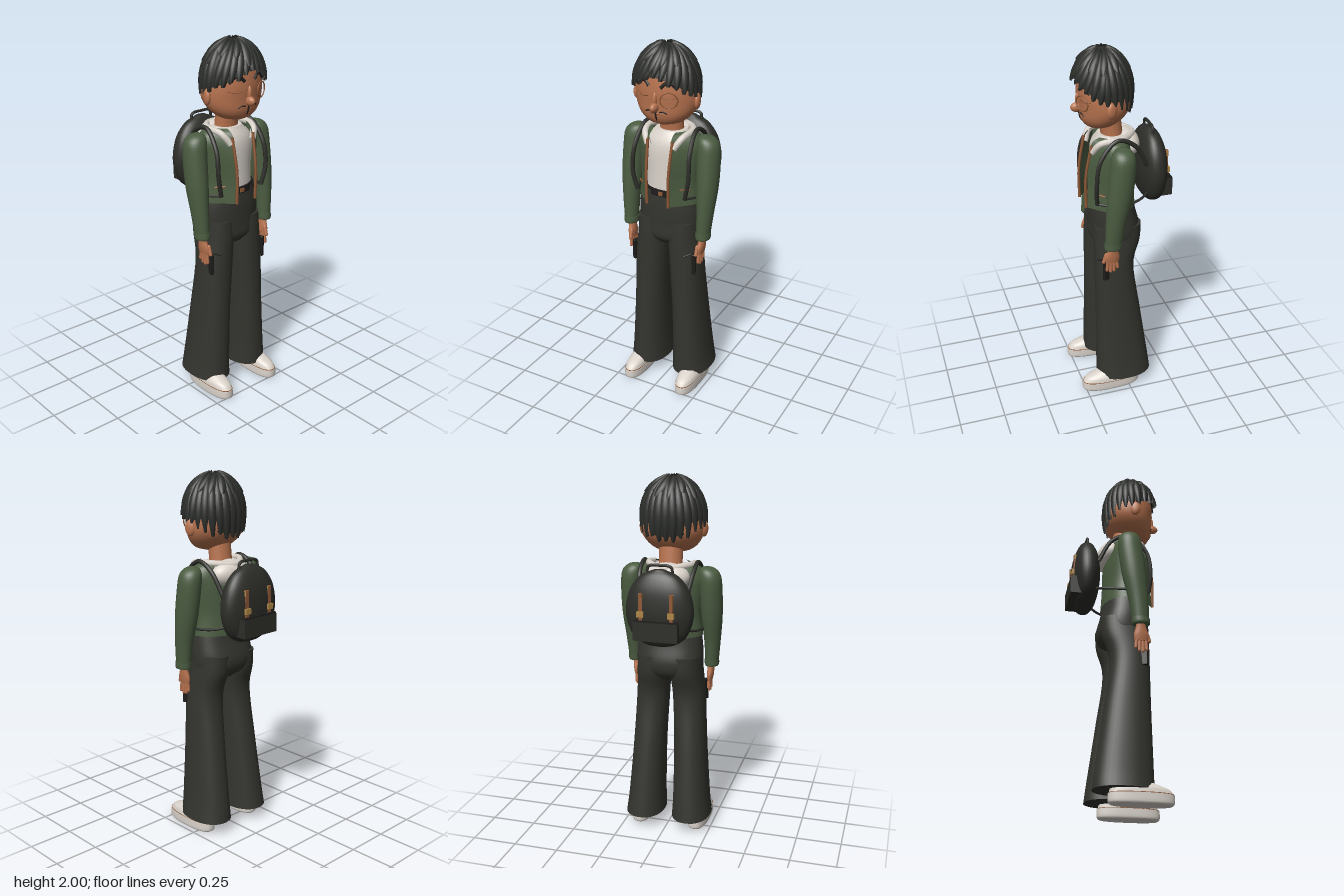
import * as THREE from 'three';
import { ParametricGeometry } from 'three/addons/geometries/ParametricGeometry.js';
import { RoundedBoxGeometry } from 'three/addons/geometries/RoundedBoxGeometry.js';

const mat = (name, color, side = THREE.FrontSide) => {
  const m = new THREE.MeshStandardMaterial({ color, side });
  m.name = name;
  return m;
};
const V = (p) => new THREE.Vector3(...p);

// Closed body from rings [x, y, z, rx, rz], listed upwards and smoothed; power squares off the outline
function loft(rings, steps = 4, sides = 32, power = 2) {
  const centres = new THREE.CatmullRomCurve3(rings.map((r) => V(r.slice(0, 3))), false, 'catmullrom');
  const radii = new THREE.CatmullRomCurve3(rings.map((r) => V([r[3], r[4], 0])), false, 'catmullrom');
  const n = (rings.length - 1) * steps, pos = [], idx = [];
  const bend = (v) => Math.sign(v) * Math.abs(v) ** (2 / power);
  const ring = (i) => {
    const c = centres.getPoint(i / n), r = radii.getPoint(i / n);
    for (let k = 0; k < sides; k++) {
      const a = (k / sides) * Math.PI * 2;
      pos.push(c.x + r.x * bend(Math.sin(a)), c.y, c.z + r.y * bend(Math.cos(a)));
    }
    return c;
  };
  for (let i = 0; i <= n; i++) ring(i);
  for (let i = 0; i < n; i++) for (let k = 0; k < sides; k++) {
    const a = i * sides + k, b = i * sides + ((k + 1) % sides);
    idx.push(a, b, a + sides, b, b + sides, a + sides);
  }
  // flat end caps with their own corners
  for (const end of [0, n]) {
    const start = pos.length / 3, c = ring(end), mid = pos.length / 3;
    pos.push(c.x, c.y, c.z);
    for (let k = 0; k < sides; k++) {
      const a = start + k, b = start + ((k + 1) % sides);
      if (end) idx.push(mid, a, b); else idx.push(mid, b, a);
    }
  }
  const g = new THREE.BufferGeometry();
  g.setAttribute('position', new THREE.Float32BufferAttribute(pos, 3));
  g.setIndex(idx);
  g.computeVertexNormals();
  return g;
}
const tube = (pts, r, seg = 28) => new THREE.TubeGeometry(new THREE.CatmullRomCurve3(pts.map(V)), seg, r, 8);

const HEAD = [[0, 1.582, 0.11, 0.045, 0.045], [0, 1.6, 0.105, 0.1, 0.08], [0, 1.64, 0.09, 0.145, 0.115],
  [0, 1.7, 0.075, 0.172, 0.135], [0, 1.78, 0.075, 0.172, 0.14], [0, 1.88, 0.08, 0.15, 0.12], [0, 1.95, 0.08, 0.08, 0.07]];
// Front surface of the face at x, y
function faceZ(x, y) {
  const i = Math.max(1, HEAD.findIndex((r) => r[1] >= y)), a = HEAD[i - 1], b = HEAD[i];
  const t = (y - a[1]) / (b[1] - a[1]), mix = (k) => a[k] + (b[k] - a[k]) * t;
  return mix(2) + mix(4) * Math.sqrt(Math.max(0, 1 - (x / mix(3)) ** 2));
}
const onFace = (pts, out = 0.002) => pts.map(([x, y]) => [x, y, faceZ(x, y) + out]);

// Hair surface: a is the turn from the front, th the angle down from the crown
function hairPoint(a, th, out, target) {
  const s = Math.sin(th), r = th > Math.PI / 2 ? Math.sqrt(s) : s;
  return target.set(Math.sin(a) * r * (0.177 + out), 1.78 + Math.cos(th) * (0.208 + out), 0.087 + Math.cos(a) * r * (0.156 + out));
}
function hairEnd(a, drop = 0) {
  const c = Math.cos(a), y = 1.765 + (c > 0 ? 0.085 * c * c : 0.08 * c) - drop;
  return Math.acos((y - 1.78) / 0.208);
}
// One raised, pointed lock of hair
const lock = (a0, half, t0, t1, twist, lift) => new ParametricGeometry((u, v, p) => {
  const w = u * 2 - 1, s = 1 - v;
  const width = half * Math.pow(Math.sin(Math.PI * (0.12 + 0.83 * s)), 0.6);
  hairPoint(a0 + twist * s + w * width, t0 + (t1 - t0) * s, -0.004 + lift * (1 - w * w), p);
}, 8, 12);

export function createModel() {
  const root = new THREE.Group();
  const skin = mat('skin', 0xb97450), hairMat = mat('hair black', 0x2c2e2b, THREE.DoubleSide);
  const jacketMat = mat('jacket green', 0x4b5c41, THREE.DoubleSide), trouserMat = mat('trouser charcoal', 0x34342f);
  const white = mat('off white', 0xdad3cb), packMat = mat('pack black', 0x2d2d29);
  const brown = mat('brown trim', 0x8f5836), gold = mat('brass', 0xae8746), dark = mat('dark detail', 0x1d1c1a);
  const add = (name, geo, m, p = [0, 0, 0], scale = [1, 1, 1], rot = [0, 0, 0]) => {
    const mesh = new THREE.Mesh(geo, m);
    mesh.name = name;
    mesh.position.set(...p);
    mesh.scale.set(...scale);
    mesh.rotation.set(...rot);
    root.add(mesh);
    return mesh;
  };
  const ball = new THREE.SphereGeometry(1, 32, 20);
  const box = (x, y, z) => new THREE.BoxGeometry(x, y, z);

  // Head, neck and face
  add('head', loft(HEAD, 5, 40), skin);
  add('neck', loft([[0, 1.46, 0.03, 0.075, 0.065], [0, 1.53, 0.035, 0.065, 0.058], [0, 1.64, 0.05, 0.066, 0.06]]), skin);
  add('nose', ball, skin, [0, 1.69, 0.217], [0.02, 0.026, 0.036]);
  add('noseBridge', ball, skin, [0, 1.73, 0.21], [0.012, 0.04, 0.018]);
  for (const s of [-1, 1]) {
    add('ear', ball, skin, [s * 0.172, 1.715, 0.085], [0.017, 0.043, 0.03], [0, s * 0.3, 0]);
    add('eyebrow', tube(onFace([[s * 0.032, 1.795], [s * 0.06, 1.82], [s * 0.085, 1.817], [s * 0.112, 1.79]]), 0.009), dark);
    add('closedEye', tube(onFace([[s * 0.04, 1.745], [s * 0.075, 1.738], [s * 0.115, 1.748]], 0), 0.003), brown);
    add('moustache', tube(onFace([[s * 0.02, 1.664], [s * 0.04, 1.668], [s * 0.062, 1.658]], 0), 0.004), dark);
  }
  add('mouth', tube(onFace([[-0.04, 1.652], [0, 1.656], [0.04, 1.652]], 0), 0.003), brown);
  add('goatee', tube(onFace([[0, 1.668], [0, 1.645], [0, 1.618]], 0), 0.005), dark);
  add('monocle', new THREE.TorusGeometry(0.044, 0.0035, 8, 32), brown, [0.08, 1.737, 0.214], [1, 0.9, 1], [0, 0.42, 0]);

  // Hair: a cap, long locks to the hairline and shorter leaves at the crown
  add('hairCap', new ParametricGeometry((u, v, p) => {
    const a = u * Math.PI * 2;
    hairPoint(a, 0.001 + hairEnd(a) * (1 - v), 0, p);
  }, 64, 24), hairMat);
  let seed = 7;
  const rnd = () => (seed = (seed * 16807) % 2147483647) / 2147483647;
  for (let i = 0; i < 26; i++) {
    const a = (i / 26) * Math.PI * 2, twist = Math.cos(a) > 0.2 ? -0.3 : 0.08;
    add('hairLock', lock(a - twist, 0.19, 0.25, hairEnd(a, 0.004 + rnd() * 0.024), twist, 0.011 + rnd() * 0.005), hairMat);
  }
  for (let i = 0; i < 13; i++) {
    const a = (i / 13) * Math.PI * 2 + rnd() * 0.2;
    add('crownLock', lock(a, 0.3, 0.16, 0.8 + rnd() * 0.35, -0.25, 0.015 + rnd() * 0.004), hairMat);
  }

  // Shirt, collar and hood
  add('shirt', loft([[0, 1.17, 0.045, 0.145, 0.108], [0, 1.3, 0.045, 0.14, 0.105], [0, 1.45, 0.045, 0.15, 0.1],
    [0, 1.53, 0.035, 0.085, 0.075]]), white);
  add('collar', tube([[-0.075, 1.46, 0.16], [-0.11, 1.515, 0.125], [-0.118, 1.53, 0.02], [0, 1.52, -0.075],
    [0.118, 1.53, 0.02], [0.11, 1.515, 0.125], [0.075, 1.46, 0.16]], 0.018, 48), white);
  add('hood', ball, white, [0, 1.47, -0.035], [0.125, 0.075, 0.075], [0.35, 0, 0]);

  // Open jacket wrapping around the back, its front edges standing forward
  const jc = new THREE.CatmullRomCurve3([[0.18, 1.14, 0.127], [0.17, 1.25, 0.12], [0.183, 1.4, 0.115], [0.188, 1.47, 0.1],
    [0.16, 1.515, 0.09], [0.11, 1.535, 0.08]].map(V));
  add('jacket', new ParametricGeometry((u, v, p) => {
    const c = jc.getPoint(v), a0 = Math.asin(0.065 / c.x), a = a0 + u * (Math.PI - a0) * 2;
    const flare = 0.06 * Math.max(0, Math.cos(a)) ** 8;
    p.set(c.x * Math.sin(a), c.y, 0.045 + c.z * Math.cos(a) + flare);
  }, 60, 24), jacketMat);

  for (const s of [-1, 1]) {
    add('jacketTrim', tube([[s * 0.064, 1.14, 0.198], [s * 0.066, 1.32, 0.197], [s * 0.072, 1.5, 0.165]], 0.008), brown);
    add('jacketPocket', tube([[s * 0.11, 1.235, 0.157], [s * 0.15, 1.23, 0.118]], 0.005, 4), brown);
    // Arms and cuffs
    add('sleeve', loft([[s * 0.222, 0.965, 0.097, 0.036, 0.045], [s * 0.226, 1.1, 0.085, 0.045, 0.054],
      [s * 0.226, 1.25, 0.063, 0.058, 0.067], [s * 0.222, 1.4, 0.045, 0.062, 0.068], [s * 0.215, 1.475, 0.04, 0.06, 0.062],
      [s * 0.205, 1.51, 0.04, 0.04, 0.042], [s * 0.2, 1.522, 0.04, 0.008, 0.008]], 4, 28), jacketMat);
    add('cuff', loft([[s * 0.222, 0.955, 0.098, 0.037, 0.046], [s * 0.222, 0.965, 0.098, 0.04, 0.049],
      [s * 0.222, 0.99, 0.096, 0.04, 0.049]]), jacketMat);
    // Hands
    add('palm', loft([[s * 0.212, 0.865, 0.1, 0.013, 0.036], [s * 0.214, 0.9, 0.1, 0.018, 0.04],
      [s * 0.217, 0.94, 0.098, 0.019, 0.028], [s * 0.219, 0.975, 0.097, 0.021, 0.026]]), skin);
    for (let f = 0; f < 4; f++) {
      const long = [0.052, 0.062, 0.058, 0.042][f];
      add('finger', new THREE.CapsuleGeometry(0.009, long, 4, 10), skin, [s * 0.211, 0.87 - long / 2, 0.127 - f * 0.018],
        [1, 1, 1], [0.06 * (1.5 - f) * -1, 0, 0]);
    }
    add('thumb', new THREE.CapsuleGeometry(0.01, 0.045, 4, 10), skin, [s * 0.205, 0.89, 0.139], [1, 1, 1], [-0.3, 0, 0]);

    // Flared trouser legs and cargo pockets
    add('trouserLeg', loft([[s * 0.136, 0.075, 0.014, 0.11, 0.158], [s * 0.131, 0.2, 0.021, 0.1, 0.149],
      [s * 0.119, 0.5, 0.04, 0.09, 0.126], [s * 0.105, 0.78, 0.057, 0.09, 0.108], [s * 0.093, 0.93, 0.038, 0.09, 0.128],
      [s * 0.09, 1.03, 0.032, 0.088, 0.13]], 5, 36, 2.25), trouserMat);
    add('cargoPocket', new RoundedBoxGeometry(0.022, 0.12, 0.055, 2, 0.005), dark, [s * 0.178, 0.8, 0.115], [1, 1, 1], [0, s * 0.4, 0]);
    add('pocketSeam', tube([[s * 0.135, 0.845, 0.158], [s * 0.17, 0.86, 0.135]], 0.004, 4), dark);

    // Shoes: thick sole and rounded upper
    add('shoeSole', loft([[s * 0.167, 0, 0.1, 0.054, 0.158], [s * 0.167, 0.012, 0.1, 0.059, 0.168],
      [s * 0.167, 0.052, 0.1, 0.059, 0.168]], 3, 36, 2.5), white);
    add('shoeSeam', loft([[s * 0.167, 0.051, 0.1, 0.057, 0.165], [s * 0.167, 0.056, 0.1, 0.057, 0.165]], 1, 36, 2.5), brown);
    add('shoeUpper', loft([[s * 0.167, 0.055, 0.1, 0.057, 0.164], [s * 0.166, 0.08, 0.092, 0.054, 0.15],
      [s * 0.164, 0.102, 0.07, 0.045, 0.12], [s * 0.163, 0.13, 0.03, 0.04, 0.07]], 4, 36, 2.4), white);

    // Backpack shoulder straps and buckled flap straps
    add('shoulderStrap', tube([[s * 0.142, 1.19, 0.16], [s * 0.166, 1.3, 0.168], [s * 0.162, 1.44, 0.145], [s * 0.15, 1.54, 0.05],
      [s * 0.148, 1.5, -0.045], [s * 0.13, 1.37, -0.12]], 0.012, 40), packMat);
    add('strapTail', tube([[s * 0.142, 1.19, 0.16], [s * 0.185, 1.18, 0.05], [s * 0.16, 1.19, -0.07], [s * 0.11, 1.21, -0.14]], 0.007), packMat);
    add('flapStrap', box(0.02, 0.15, 0.012), brown, [s * 0.083, 1.345, -0.246]);
    add('buckle', box(0.036, 0.03, 0.014), gold, [s * 0.083, 1.31, -0.255]);
    add('strapTip', box(0.022, 0.03, 0.014), gold, [s * 0.083, 1.405, -0.243]);
  }

  // Trouser seat, waist and belt
  add('trouserSeat', loft([[0, 0.885, 0.05, 0.07, 0.08], [0, 0.93, 0.038, 0.165, 0.125], [0, 1.0, 0.03, 0.184, 0.135],
    [0, 1.1, 0.042, 0.178, 0.124], [0, 1.2, 0.046, 0.158, 0.114]], 5, 40, 2.25), trouserMat);
  add('belt', loft([[0, 1.175, 0.046, 0.16, 0.119], [0, 1.21, 0.046, 0.155, 0.117]], 1), dark);
  add('beltBuckle', box(0.026, 0.02, 0.008), brown, [0, 1.193, 0.166]);

  // Backpack
  add('backpack', loft([[0, 1.122, -0.175, 0.02, 0.012], [0, 1.135, -0.175, 0.085, 0.035], [0, 1.18, -0.175, 0.145, 0.06],
    [0, 1.26, -0.175, 0.178, 0.076], [0, 1.34, -0.175, 0.182, 0.079], [0, 1.43, -0.175, 0.158, 0.07],
    [0, 1.5, -0.175, 0.105, 0.045], [0, 1.535, -0.175, 0.03, 0.016]], 4, 40, 2.3), packMat);
  add('packPocket', box(0.24, 0.1, 0.07), packMat, [0, 1.22, -0.235]);
  add('pocketFlap', box(0.236, 0.008, 0.066), dark, [0, 1.273, -0.234]);
  add('packHandle', tube([[-0.07, 1.515, -0.172], [-0.06, 1.55, -0.172], [0, 1.557, -0.172], [0.06, 1.55, -0.172],
    [0.07, 1.515, -0.172]], 0.008), packMat);
  return root;
}
